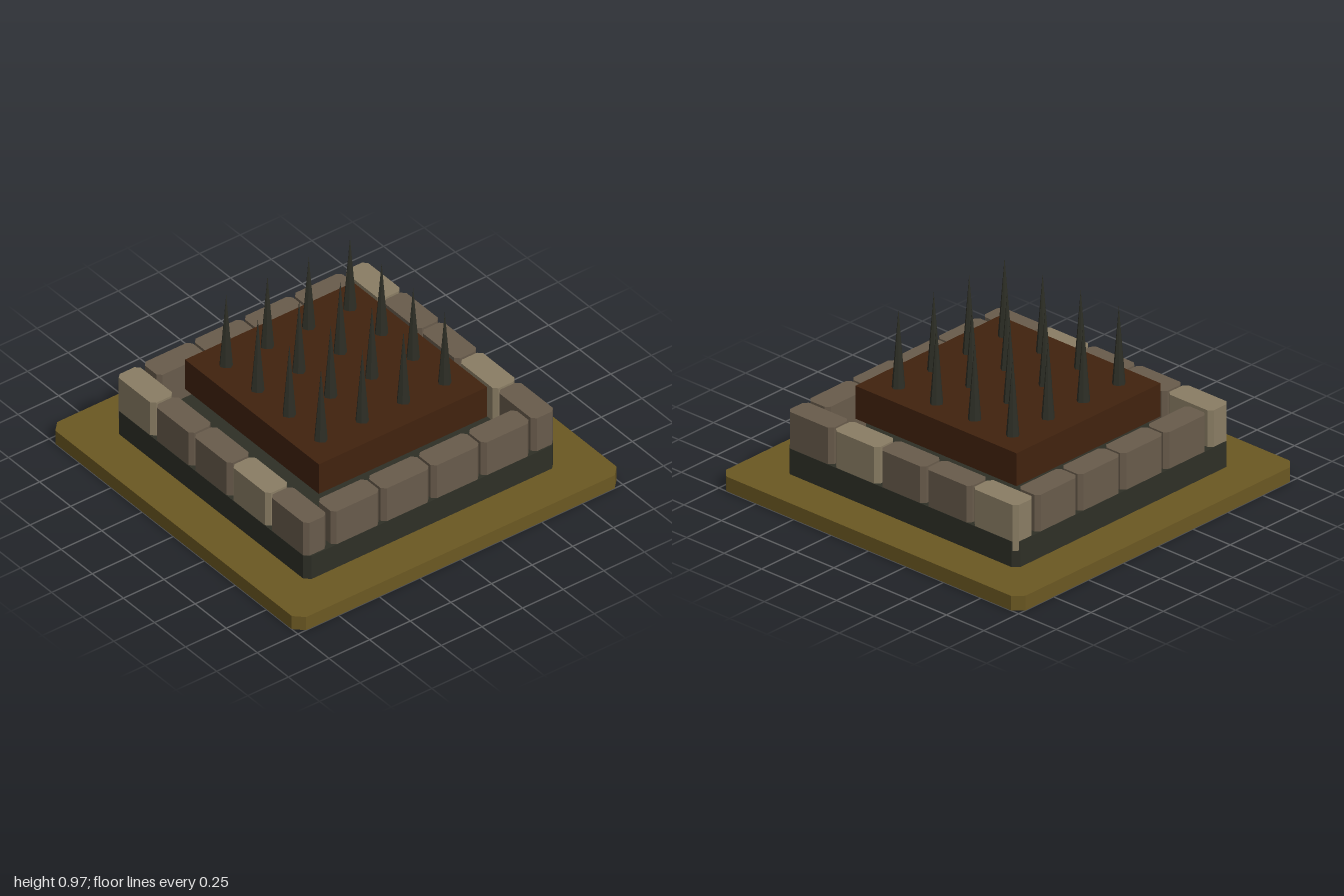
import * as THREE from 'three';

const mat = (name, color) => {
  const m = new THREE.MeshStandardMaterial({ color });
  m.name = name;
  return m;
};

// Upright block whose four vertical corners are cut off
function chamferedBlock(w, h, d, c) {
  const x = w / 2, z = d / 2;
  const shape = new THREE.Shape([
    [-x + c, -z], [x - c, -z], [x, -z + c], [x, z - c],
    [x - c, z], [-x + c, z], [-x, z - c], [-x, -z + c],
  ].map(([a, b]) => new THREE.Vector2(a, b)));
  const geo = new THREE.ExtrudeGeometry(shape, { depth: h, bevelEnabled: false });
  return geo.rotateX(-Math.PI / 2);
}

// Eight-sided spike with ridges on the x and z axes
function spikeGeometry(radius, height) {
  const geo = new THREE.ConeGeometry(radius, height, 8).toNonIndexed();
  const p = geo.attributes.position;
  for (let i = 0; i < p.count; i++) {
    const x = p.getX(i), z = p.getZ(i);
    if (Math.abs(x) > 0.005 && Math.abs(z) > 0.005) p.setXYZ(i, x * 0.87, p.getY(i), z * 0.87);
  }
  geo.computeVertexNormals();
  return geo.translate(0, height / 2, 0);
}

export function createModel() {
  const model = new THREE.Group();
  model.name = 'spikeTrap';
  const ochre = mat('ochre', 0x6b5822);
  const iron = mat('darkIron', 0x2e2f26);
  const stone = mat('stone', 0x685b4b);
  const paleStone = mat('paleStone', 0x8a7d64);
  const wood = mat('darkBrown', 0x41220e);

  const add = (name, geo, material, x, y, z, parent = model) => {
    const mesh = new THREE.Mesh(geo, material);
    mesh.name = name;
    mesh.position.set(x, y, z);
    parent.add(mesh);
  };

  // Ground slab, plinth and raised platform
  add('groundSlab', chamferedBlock(2, 0.08, 2, 0.05), ochre, 0, 0, 0);
  add('plinth', chamferedBlock(1.54, 0.14, 1.54, 0.03), iron, 0, 0.08, 0);
  add('platform', new THREE.BoxGeometry(1.075, 0.18, 1.035), wood, 0, 0.45, 0);

  // Stone border: five blocks front and back, four on each side
  const stones = new THREE.Group();
  stones.name = 'stoneBorder';
  model.add(stones);
  const long = chamferedBlock(0.295, 0.25, 0.136, 0.022);
  const side = chamferedBlock(0.136, 0.25, 0.295, 0.022);
  for (const s of [-1, 1]) {
    for (let i = 0; i < 5; i++) {
      add('endStone', long, i % 3 === 0 ? paleStone : stone, (i - 2) * 0.308 - 0.002, 0.17, s * 0.7, stones);
    }
    for (let i = 0; i < 4; i++) {
      add('sideStone', side, stone, s * 0.7, 0.17, (i - 1.5) * 0.308 - 0.004, stones);
    }
  }

  // Four by four field of spikes
  const spikes = new THREE.Group();
  spikes.name = 'spikes';
  model.add(spikes);
  const spike = spikeGeometry(0.038, 0.425);
  for (let i = 0; i < 4; i++) {
    for (let j = 0; j < 4; j++) {
      add('spike', spike, iron, (i - 1.5) * 0.254 - 0.004, 0.54, (j - 1.5) * 0.254, spikes);
    }
  }
  return model;
}
